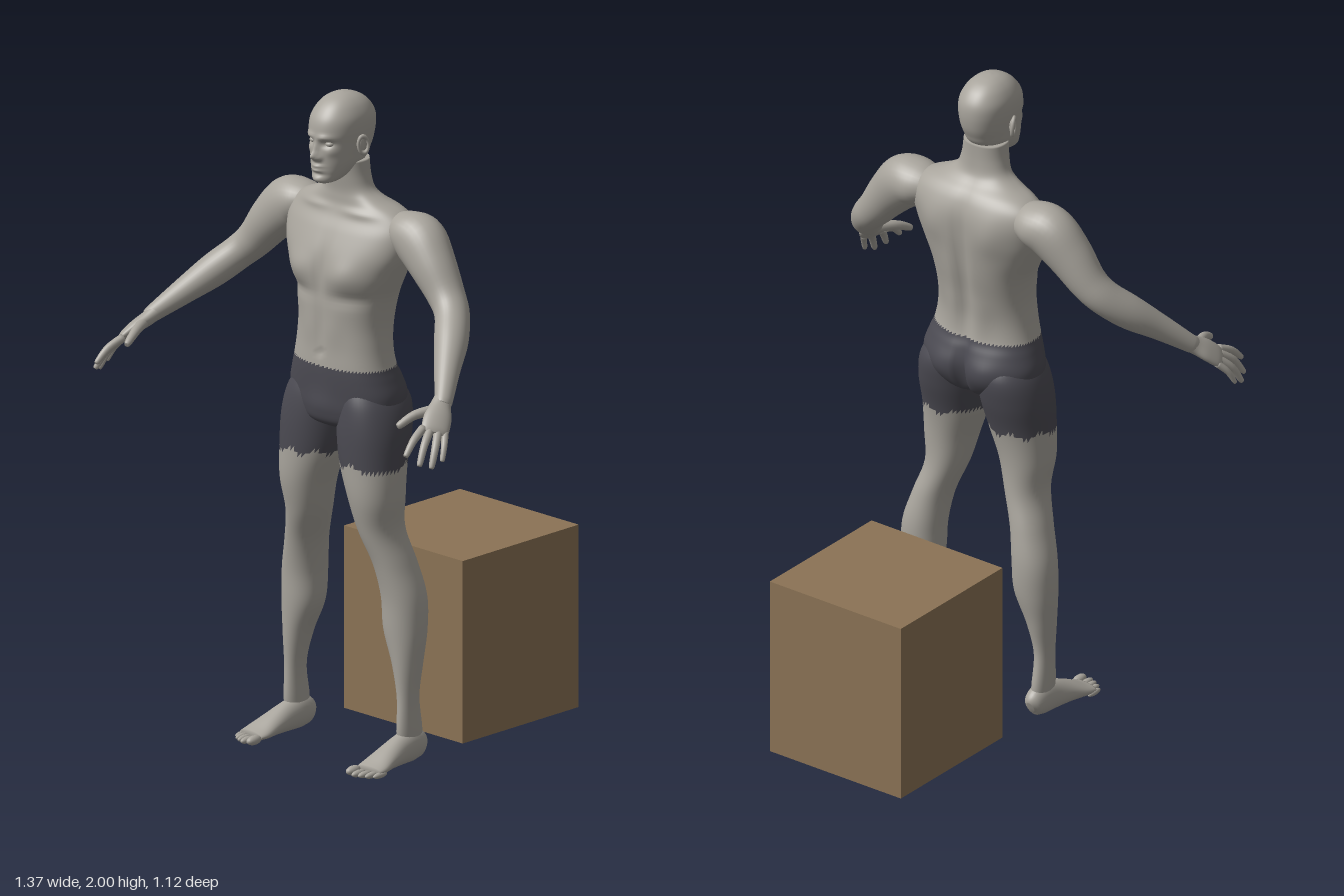
import * as THREE from 'three';

const mat = (name, color) => Object.assign(new THREE.MeshStandardMaterial({ color }), { name });

// Catmull-Rom interpolation of number rows, `sub` steps between rows
function refine(rows, sub) {
  const out = [], at = i => rows[Math.max(0, Math.min(rows.length - 1, i))];
  for (let i = 0; i < rows.length - 1; i++) {
    for (let k = 0; k < sub; k++) {
      const t = k / sub;
      out.push(rows[i].map((b, c) => {
        const a = at(i - 1)[c], d = at(i + 1)[c], e = at(i + 2)[c];
        return 0.5 * (2 * b + (d - a) * t + (2 * a - 5 * b + 4 * d - e) * t * t + (3 * b - a - 3 * d + e) * t * t * t);
      }));
    }
  }
  out.push(rows[rows.length - 1]);
  return out;
}

// Skin closed rings of points; isSecond(x, y, z) puts a triangle in the second material group
function skinRings(rings, isSecond) {
  const n = rings[0].length, pts = rings.flat(), first = [], second = [];
  const add = (a, b, c) => {
    const m = pts[a].clone().add(pts[b]).add(pts[c]).divideScalar(3);
    (isSecond && isSecond(m.x, m.y, m.z) ? second : first).push(a, b, c);
  };
  const mid = r => r.reduce((s, p) => s.add(p), new THREE.Vector3()).divideScalar(n);
  const last = (rings.length - 1) * n, c0 = pts.push(mid(rings[0])) - 1, c1 = pts.push(mid(rings[rings.length - 1])) - 1;
  for (let j = 0; j < n; j++) {
    const k = (j + 1) % n;
    add(c0, j, k);
    add(c1, last + k, last + j);
    for (let i = 0; i < last; i += n) {
      add(i + j, i + n + j, i + k);
      add(i + k, i + n + j, i + n + k);
    }
  }
  const g = new THREE.BufferGeometry().setFromPoints(pts);
  g.setIndex([...first, ...second]);
  if (isSecond) {
    g.addGroup(0, first.length, 0);
    g.addGroup(first.length, second.length, 1);
  }
  g.computeVertexNormals();
  return g;
}

const pow = (v, e) => Math.sign(v) * Math.abs(v) ** e;

// Upright form, rows bottom to top: [y, centre x, half width, front z, back z].
// Bumps: [x, y, width, height, amount, 1 front / -1 back], mirrored in x.
function column(rows, { seg = 48, sub = 6, p = 2, bumps = [], second } = {}) {
  const rings = refine(rows, sub).map(([y, x, a, zf, zb]) => Array.from({ length: seg }, (_, j) => {
    const th = j / seg * Math.PI * 2, s = Math.sin(th);
    const v = new THREE.Vector3(x + a * pow(Math.cos(th), 2 / p), y, (zf + zb) / 2 + (zf - zb) / 2 * pow(s, 2 / p));
    for (const [bx, by, w, h, amt, dir] of bumps) {
      if (s * dir <= 0) continue;
      v.z += dir * amt * Math.min(1, 2 * Math.abs(s)) * Math.exp(-(((Math.abs(v.x) - bx) / w) ** 2) - ((y - by) / h) ** 2);
    }
    return v;
  }));
  return skinRings(rings, second);
}

// Form along a path, rows: [x, y, z, half size along ref, half size across]
function limb(rows, ref, { seg = 32, sub = 5, floor = -1 } = {}) {
  const r = refine(rows, sub), pos = r.map(q => new THREE.Vector3(q[0], q[1], q[2]));
  return skinRings(r.map((q, i) => {
    const t = pos[Math.min(i + 1, r.length - 1)].clone().sub(pos[Math.max(i - 1, 0)]).normalize();
    const u = ref.clone().addScaledVector(t, -ref.dot(t)).normalize(), v = u.clone().cross(t);
    return Array.from({ length: seg }, (_, j) => {
      const th = j / seg * Math.PI * 2;
      const pt = pos[i].clone().addScaledVector(u, q[3] * Math.cos(th)).addScaledVector(v, q[4] * Math.sin(th));
      pt.y = Math.max(pt.y, floor);
      return pt;
    });
  }));
}

export function createModel() {
  const root = new THREE.Group();
  const skin = mat('skin', 0xa8a49c), cloth = mat('shorts cloth', 0x4b4a52), wood = mat('box brown', 0x8b7355);
  const add = (name, geo, m = skin) => {
    const mesh = new THREE.Mesh(geo, m);
    mesh.name = name;
    root.add(mesh);
    return mesh;
  };

  // Box behind the figure
  add('box', new THREE.BoxGeometry(0.48, 0.555, 0.48), wood).position.set(0, 0.2875, -0.32);

  // Pelvis, torso and neck
  const torso = [
    [0.985, 0.03, 0.2, 0.11], [1.01, 0.13, 0.25, 0.06], [1.05, 0.185, 0.262, 0.035], [1.1, 0.196, 0.265, 0.026],
    [1.15, 0.182, 0.268, 0.037], [1.19, 0.168, 0.268, 0.052], [1.25, 0.157, 0.265, 0.057], [1.32, 0.153, 0.265, 0.047],
    [1.4, 0.165, 0.268, 0.032], [1.47, 0.195, 0.268, 0.024], [1.53, 0.22, 0.26, 0.02], [1.59, 0.232, 0.235, 0.02],
    [1.63, 0.222, 0.212, 0.03], [1.66, 0.185, 0.2, 0.048], [1.685, 0.125, 0.197, 0.075], [1.71, 0.088, 0.197, 0.09],
    [1.75, 0.073, 0.203, 0.095], [1.8, 0.066, 0.21, 0.095],
  ].map(([y, ...q]) => [y, 0, ...q]);
  add('torso', column(torso, {
    seg: 80, p: 2.3, second: (x, y) => y < 1.187,
    bumps: [
      [0.09, 1.47, 0.06, 0.045, 0.016, 1], [0, 1.47, 0.014, 0.08, -0.01, 1], [0.1, 1.4, 0.07, 0.02, -0.008, 1],
      [0, 1.29, 0.01, 0.08, -0.004, 1], [0.045, 1.3, 0.03, 0.06, 0.004, 1], [0, 1.225, 0.009, 0.009, -0.008, 1],
      [0, 1.06, 0.05, 0.05, 0.008, 1], [0.09, 1.65, 0.06, 0.012, 0.006, 1],
      [0, 1.4, 0.022, 0.2, -0.02, -1], [0.1, 1.55, 0.05, 0.06, 0.01, -1], [0.05, 1.26, 0.03, 0.07, 0.006, -1],
      [0.08, 1.08, 0.055, 0.055, 0.012, -1], [0, 1.06, 0.014, 0.08, -0.025, -1],
    ],
  }), [skin, cloth]);

  // Head and face
  const head = [
    [1.742, 0.018, 0.265, 0.225], [1.75, 0.036, 0.277, 0.195], [1.77, 0.05, 0.28, 0.15], [1.8, 0.063, 0.28, 0.1],
    [1.83, 0.069, 0.28, 0.082], [1.86, 0.074, 0.28, 0.07], [1.9, 0.079, 0.282, 0.064], [1.935, 0.077, 0.274, 0.068],
    [1.965, 0.064, 0.253, 0.087], [1.985, 0.046, 0.228, 0.113], [1.996, 0.025, 0.2, 0.142], [2, 0.003, 0.175, 0.168],
  ].map(([y, ...q]) => [y, 0, ...q]);
  add('head', column(head, {
    seg: 96, p: 2.2, sub: 7,
    bumps: [
      [0, 1.828, 0.013, 0.013, 0.022, 1], [0, 1.85, 0.009, 0.022, 0.012, 1], [0.014, 1.822, 0.007, 0.008, 0.007, 1],
      [0.028, 1.885, 0.024, 0.009, 0.008, 1], [0.032, 1.866, 0.016, 0.01, -0.013, 1], [0.045, 1.842, 0.014, 0.013, 0.004, 1],
      [0, 1.797, 0.02, 0.005, 0.009, 1], [0, 1.784, 0.018, 0.005, 0.009, 1], [0, 1.772, 0.03, 0.006, -0.004, 1],
      [0, 1.756, 0.02, 0.01, 0.006, 1],
    ],
  }));

  for (const s of [1, -1]) {
    const side = s > 0 ? 'left' : 'right';
    const flip = rows => rows.map(([x, ...q]) => [x * s, ...q]);
    const ball = (name, x, y, z, a, b, c) => {
      const m = add(name, new THREE.SphereGeometry(1, 20, 14));
      m.position.set(x * s, y, z);
      m.scale.set(a, b, c);
      return m;
    };

    // Eye and ear
    ball(side + 'Eye', 0.032, 1.866, 0.257, 0.014, 0.009, 0.013);
    const ear = add(side + 'Ear', new THREE.TorusGeometry(0.021, 0.006, 8, 24));
    ear.position.set(0.084 * s, 1.855, 0.172);
    ear.rotation.set(0.15, s * 1.15, 0);
    ear.scale.set(0.75, 1.25, 1);
    ball(side + 'EarInner', 0.078, 1.852, 0.175, 0.006, 0.024, 0.013);

    // Leg, with the shorts ending at mid thigh
    const leg = [
      [0.05, 0.226, 0.026, 0.168, 0.085], [0.1, 0.228, 0.026, 0.175, 0.083], [0.2, 0.228, 0.026, 0.172, 0.096],
      [0.3, 0.221, 0.041, 0.178, 0.08], [0.4, 0.206, 0.064, 0.185, 0.06], [0.5, 0.2, 0.065, 0.19, 0.055],
      [0.6, 0.178, 0.058, 0.207, 0.068], [0.7, 0.146, 0.061, 0.235, 0.085], [0.8, 0.137, 0.08, 0.258, 0.085],
      [0.9, 0.121, 0.098, 0.265, 0.07], [1.0, 0.112, 0.105, 0.266, 0.042], [1.08, 0.104, 0.094, 0.258, 0.032],
      [1.14, 0.09, 0.07, 0.24, 0.06],
    ].map(([y, x, ...q]) => [y, x * s, ...q]);
    add(side + 'Leg', column(leg, {
      p: 2.1, second: (x, y, z) => y > 0.9 + 0.01 * Math.sin(70 * x * s + 45 * z),
    }), [skin, cloth]);

    // Foot and toes
    add(side + 'Foot', limb(flip([
      [0.225, 0.04, 0.07, 0.012, 0.018], [0.225, 0.045, 0.083, 0.028, 0.038], [0.226, 0.052, 0.12, 0.034, 0.05],
      [0.228, 0.046, 0.17, 0.036, 0.045], [0.232, 0.034, 0.23, 0.043, 0.032], [0.236, 0.022, 0.28, 0.049, 0.02],
      [0.238, 0.018, 0.31, 0.046, 0.012],
    ]), new THREE.Vector3(1, 0, 0), { floor: 0.005 }));
    [[0.201, 0.333, 0.014], [0.225, 0.335, 0.0105], [0.244, 0.328, 0.01], [0.262, 0.318, 0.0095], [0.279, 0.302, 0.009]]
      .forEach(([x, z, r], i) => ball(side + 'Toe' + (i + 1), x, 0.002 + r, z, r, r, 0.028));

    // Arm
    add(side + 'Arm', limb(flip([
      [0.16, 1.605, 0.11, 0.05, 0.045], [0.21, 1.605, 0.112, 0.073, 0.064], [0.265, 1.588, 0.118, 0.074, 0.08],
      [0.325, 1.53, 0.128, 0.067, 0.07], [0.385, 1.458, 0.137, 0.056, 0.056], [0.43, 1.412, 0.158, 0.053, 0.05],
      [0.48, 1.357, 0.213, 0.051, 0.049], [0.53, 1.3, 0.28, 0.039, 0.039], [0.585, 1.237, 0.35, 0.028, 0.026],
      [0.592, 1.227, 0.36, 0.027, 0.023],
    ]), new THREE.Vector3(0, 0.25, 1)));

    // Palm, fingers and thumb
    const across = new THREE.Vector3(0.47 * s, -0.17, -0.87);
    add(side + 'Palm', limb(flip([
      [0.578, 1.245, 0.34, 0.025, 0.024], [0.592, 1.222, 0.37, 0.031, 0.022], [0.61, 1.2, 0.4, 0.041, 0.02],
      [0.628, 1.174, 0.43, 0.042, 0.016], [0.636, 1.162, 0.442, 0.034, 0.009],
    ]), across));
    [
      [[0.608, 1.178, 0.46], [0.619, 1.155, 0.51], [0.626, 1.12, 0.548]],
      [[0.622, 1.172, 0.446], [0.642, 1.14, 0.49], [0.655, 1.093, 0.522]],
      [[0.636, 1.166, 0.427], [0.66, 1.13, 0.463], [0.672, 1.082, 0.49]],
      [[0.646, 1.162, 0.408], [0.667, 1.132, 0.433], [0.678, 1.095, 0.452]],
      [[0.592, 1.215, 0.385], [0.565, 1.206, 0.45], [0.55, 1.182, 0.5]],
    ].forEach(([a, b, c], i) => {
      const r = i === 4 ? 0.014 : i === 3 ? 0.0095 : 0.0115;
      const end = c.map((v, k) => v + (c[k] - b[k]) * 0.09);
      add(side + (i === 4 ? 'Thumb' : 'Finger' + (i + 1)), limb(flip([
        [...a, r * 1.15, r * 1.1], [...b, r, r], [...c, r * 0.75, r * 0.7], [...end, 0.002, 0.002],
      ]), across, { seg: 14, sub: 4 }));
    });
  }
  return root;
}
